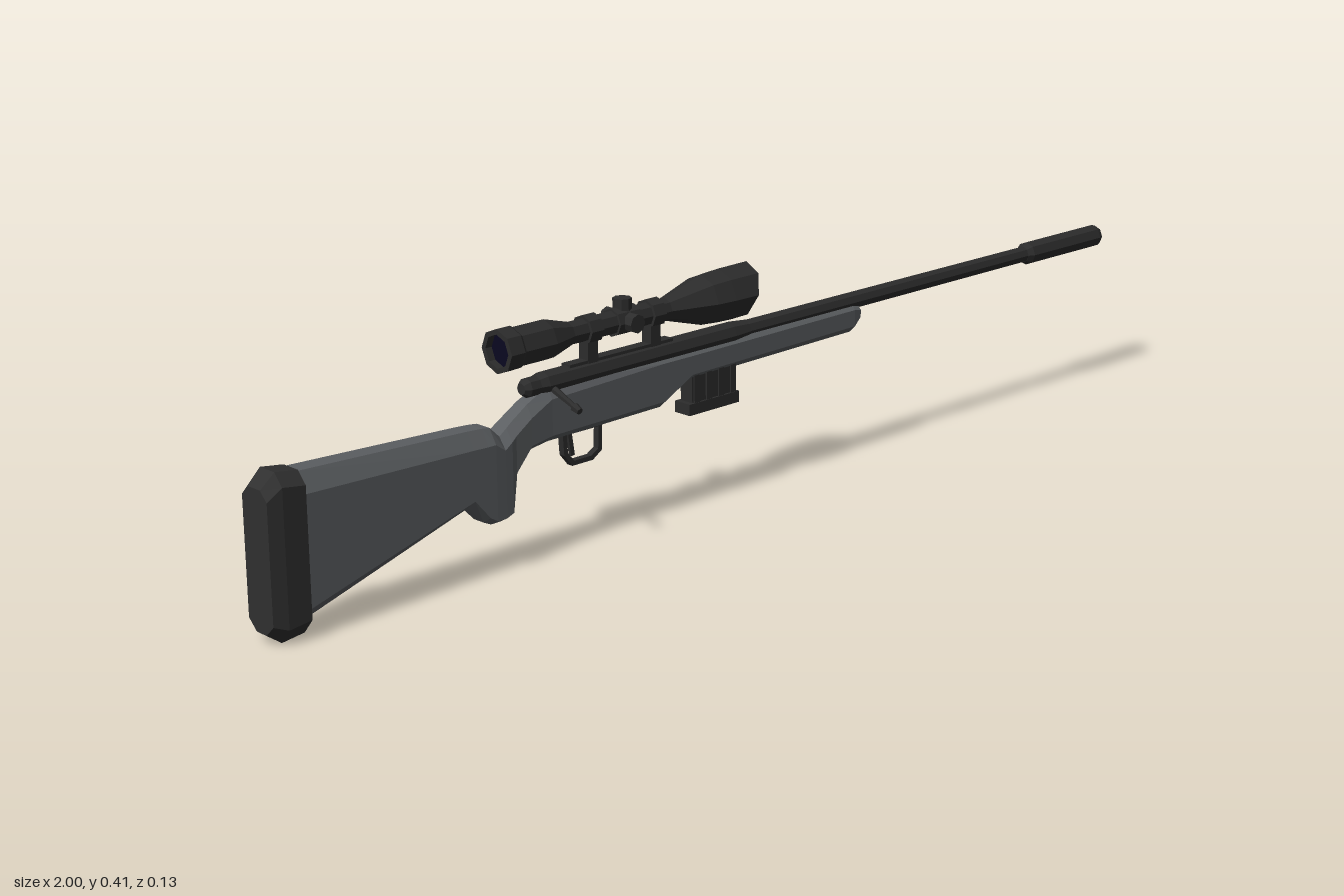
import * as THREE from 'three';

const mat = (name, color) => new THREE.MeshStandardMaterial({ name, color });

// Faceted skin over a row of rings running along x (each ring turns from +y to +z)
function loft(rings, capStart = true, capEnd = true) {
  const pos = [];
  const tri = (a, b, c) => pos.push(...a, ...b, ...c);
  const n = rings[0].length;
  const centre = r => [0, 1, 2].map(k => r.reduce((s, p) => s + p[k], 0) / n);
  const first = rings[0], last = rings[rings.length - 1];
  const c0 = centre(first), c1 = centre(last);
  for (let j = 0; j < n; j++) {
    const k = (j + 1) % n;
    for (let i = 0; i < rings.length - 1; i++) {
      const a = rings[i][j], b = rings[i][k], c = rings[i + 1][k], d = rings[i + 1][j];
      tri(a, b, c);
      tri(a, c, d);
    }
    if (capStart) tri(c0, first[k], first[j]);
    if (capEnd) tri(c1, last[j], last[k]);
  }
  const g = new THREE.BufferGeometry();
  g.setAttribute('position', new THREE.Float32BufferAttribute(pos, 3));
  g.computeVertexNormals();
  return g;
}

// Eight-sided round section; tilt leans the section forward with height
function round(x, r, y, tilt = 0) {
  return Array.from({ length: 8 }, (_, i) => {
    const a = i * Math.PI / 4, dy = r * Math.cos(a);
    return [x + tilt * dy, y + dy, r * Math.sin(a)];
  });
}

// Chamfered box section: top, bottom, half width, top and bottom chamfer heights
function section([x, top, bot, w, ct, cb]) {
  const t = w * 0.5, b = w * 0.4;
  return [[top, t], [top - ct, w], [bot + cb, w], [bot, b],
    [bot, -b], [bot + cb, -w], [top - ct, -w], [top, -t]].map(([y, z]) => [x, y, z]);
}

export function createModel() {
  const model = new THREE.Group();
  model.name = 'rifle';
  const body = new THREE.Group();
  body.name = 'rifleBody';
  body.position.z = -0.0155;
  model.add(body);

  const grey = mat('stockGrey', 0x5b5e61);
  const black = mat('gunMetal', 0x2c2c2c);
  const rubber = mat('buttRubber', 0x303030);
  const glass = mat('lensGlass', 0x0a0820);

  const add = (name, geo, m, x = 0, y = 0, z = 0) => {
    const mesh = new THREE.Mesh(geo, m);
    mesh.name = name;
    mesh.position.set(x, y, z);
    body.add(mesh);
    return mesh;
  };
  const box = (name, x0, x1, y0, y1, w, m = black) =>
    add(name, new THREE.BoxGeometry(x1 - x0, y1 - y0, w), m, (x0 + x1) / 2, (y0 + y1) / 2);
  const flat = g => {
    const f = g.toNonIndexed();
    f.computeVertexNormals();
    return f;
  };

  // Stock from butt through grip to fore-end
  add('stock', loft([
    [-0.937, 0.262, 0.024, 0.033, 0.033, 0.022],
    [-0.61, 0.249, 0.122, 0.031, 0.028, 0.015],
    [-0.58, 0.247, 0.09, 0.031, 0.027, 0.012],
    [-0.565, 0.245, 0.083, 0.031, 0.025, 0.01],
    [-0.545, 0.226, 0.083, 0.03, 0.02, 0.01],
    [-0.53, 0.236, 0.088, 0.029, 0.02, 0.01],
    [-0.52, 0.243, 0.15, 0.027, 0.02, 0.012],
    [-0.485, 0.265, 0.187, 0.025, 0.02, 0.012],
    [-0.44, 0.286, 0.193, 0.023, 0.02, 0.012],
    [-0.19, 0.286, 0.196, 0.022, 0.012, 0.012],
    [-0.125, 0.286, 0.229, 0.022, 0.012, 0.012],
    [0.28, 0.286, 0.234, 0.02, 0.01, 0.012],
    [0.297, 0.283, 0.25, 0.018, 0.01, 0.01],
  ].map(section)), grey);

  // Butt pad with bevelled rear edge
  add('buttPad', loft([
    [-1, 0.247, 0.018, 0.031, 0.016, 0.018],
    [-0.975, 0.27, 0, 0.036, 0.02, 0.026],
    [-0.933, 0.264, 0.005, 0.036, 0.02, 0.026],
  ].map(section)), rubber);

  // Receiver, barrel and muzzle sleeve
  add('receiver', loft([round(-0.455, 0.017, 0.288), round(-0.44, 0.021, 0.288),
    round(-0.02, 0.021, 0.288), round(0.02, 0.017, 0.288)]), black);
  add('barrel', loft([round(0, 0.0165, 0.288), round(0.8, 0.0155, 0.288)]), black);
  add('muzzleSleeve', loft([round(0.775, 0.016, 0.288), round(0.787, 0.022, 0.288),
    round(0.99, 0.022, 0.288), round(1, 0.019, 0.288), round(1, 0.009, 0.288),
    round(0.97, 0.009, 0.288)]), black);
  box('scopeRail', -0.39, -0.16, 0.295, 0.31, 0.02);

  // Bolt and its handle
  add('bolt', loft([round(-0.485, 0.01, 0.288), round(-0.475, 0.017, 0.288),
    round(-0.42, 0.017, 0.288)]), black);
  const from = new THREE.Vector3(-0.43, 0.283, 0.008), to = new THREE.Vector3(-0.43, 0.256, 0.077);
  const dir = to.clone().sub(from);
  const handle = add('boltHandle', flat(new THREE.CylinderGeometry(0.004, 0.007, dir.length(), 6)), black);
  handle.position.copy(from).lerp(to, 0.5);
  handle.quaternion.setFromUnitVectors(new THREE.Vector3(0, 1, 0), dir.normalize());
  const knob = add('boltKnob', flat(new THREE.CylinderGeometry(0.006, 0.008, 0.014, 6)), black);
  knob.position.copy(to).addScaledVector(dir, -0.006);
  knob.quaternion.copy(handle.quaternion);

  // Trigger guard loop and trigger
  const guard = new THREE.Shape([[-0.405, 0.2], [-0.402, 0.158], [-0.385, 0.137], [-0.34, 0.137],
    [-0.32, 0.15], [-0.318, 0.2]].map(p => new THREE.Vector2(...p)));
  guard.holes.push(new THREE.Path([[-0.396, 0.192], [-0.326, 0.192], [-0.328, 0.154],
    [-0.343, 0.145], [-0.381, 0.145], [-0.394, 0.161]].map(p => new THREE.Vector2(...p))));
  add('triggerGuard', new THREE.ExtrudeGeometry(guard, { depth: 0.012, bevelEnabled: false }),
    black, 0, 0, -0.006);
  const trigger = box('trigger', -0.388, -0.38, 0.153, 0.2, 0.006);
  trigger.rotation.z = 0.15;

  // Magazine with side ribs and floor plate
  box('magazine', -0.12, -0.016, 0.18, 0.245, 0.028);
  box('magazineFloor', -0.13, -0.012, 0.168, 0.188, 0.036);
  for (let i = 0; i < 4; i++) {
    const x = -0.117 + i * 0.029;
    box('magazineRib', x, x + 0.012, 0.185, 0.24, 0.034);
  }

  // Telescopic sight: flared eyepiece, slim tube, slanted objective hood
  const sy = 0.36, tilt = 0.38;
  add('scopeTube', loft([
    round(-0.515, 0.028, sy), round(-0.533, 0.028, sy), round(-0.533, 0.037, sy),
    round(-0.505, 0.037, sy), round(-0.5, 0.034, sy), round(-0.435, 0.034, sy),
    round(-0.385, 0.02, sy), round(-0.17, 0.02, sy), round(-0.085, 0.044, sy),
    round(-0.045, 0.047, sy), round(0.006, 0.048, sy, tilt), round(0.006, 0.036, sy, tilt),
    round(-0.008, 0.036, sy, tilt),
  ], false, false), black);
  add('frontLens', loft([round(-0.012, 0.036, sy, tilt), round(-0.006, 0.036, sy, tilt)]), glass);
  add('rearLens', loft([round(-0.52, 0.028, sy), round(-0.514, 0.028, sy)]), glass);

  // Scope rings on their mounts
  for (const x of [-0.34, -0.2]) {
    add('scopeRing', loft([round(x - 0.013, 0.025, sy), round(x + 0.013, 0.025, sy)]), black);
    box('scopeMount', x - 0.011, x + 0.011, 0.3, 0.345, 0.022);
  }

  // Adjustment turrets on top and both sides
  add('turretCollar', loft([round(-0.29, 0.024, sy), round(-0.24, 0.024, sy)]), black);
  for (const a of [-Math.PI / 2, 0, Math.PI / 2]) {
    const t = add('turret', flat(new THREE.CylinderGeometry(0.016, 0.016, 0.034, 8)), black,
      -0.265, sy + 0.021 * Math.cos(a), 0.021 * Math.sin(a));
    t.rotation.x = a;
  }
  return model;
}
